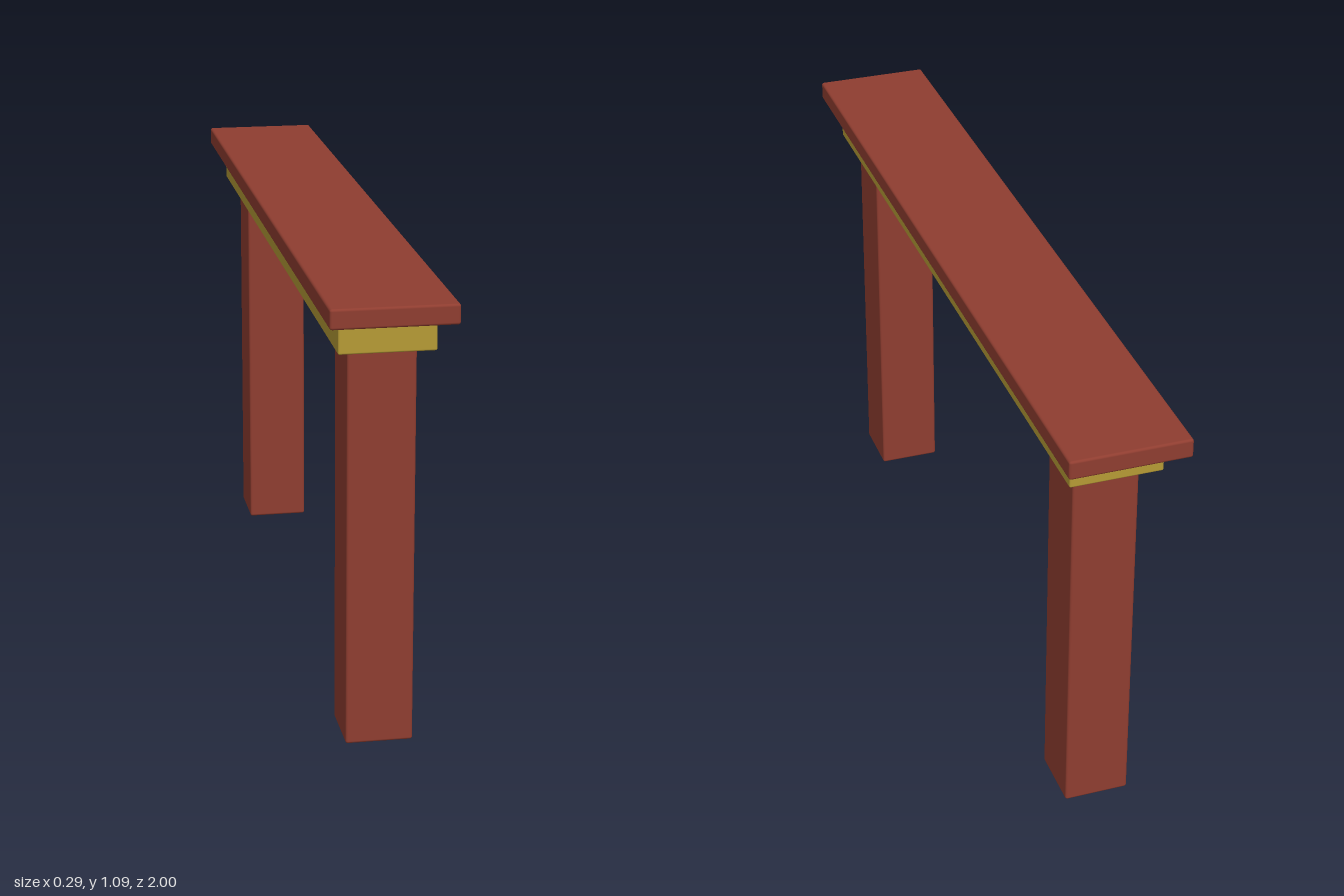
import * as THREE from 'three';
import { RoundedBoxGeometry } from 'three/addons/geometries/RoundedBoxGeometry.js';

export function createModel() {
  const model = new THREE.Group();
  model.name = 'gateFrame';

  const redWood = new THREE.MeshStandardMaterial({ color: 0x8f3d30 });
  redWood.name = 'red wood';
  const gold = new THREE.MeshStandardMaterial({ color: 0xb59a35 });
  gold.name = 'gold';

  // Softly bevelled block resting at height y0
  function block(name, material, width, y0, y1, depth, z, bevel) {
    const geometry = new RoundedBoxGeometry(width, y1 - y0, depth, 2, bevel);
    const mesh = new THREE.Mesh(geometry, material);
    mesh.name = name;
    mesh.position.set(0, (y0 + y1) / 2, z);
    model.add(mesh);
  }

  // Square posts, front and back
  for (const side of [1, -1]) {
    block(side > 0 ? 'frontPost' : 'backPost', redWood, 0.158, 0, 0.963, 0.158, side * 0.775, 0.006);
  }

  // Gold beam across the posts, with the wider cap board on top
  block('beam', gold, 0.222, 0.962, 1.042, 1.834, 0, 0.004);
  block('capBoard', redWood, 0.288, 1.042, 1.089, 2, 0, 0.006);

  return model;
}
